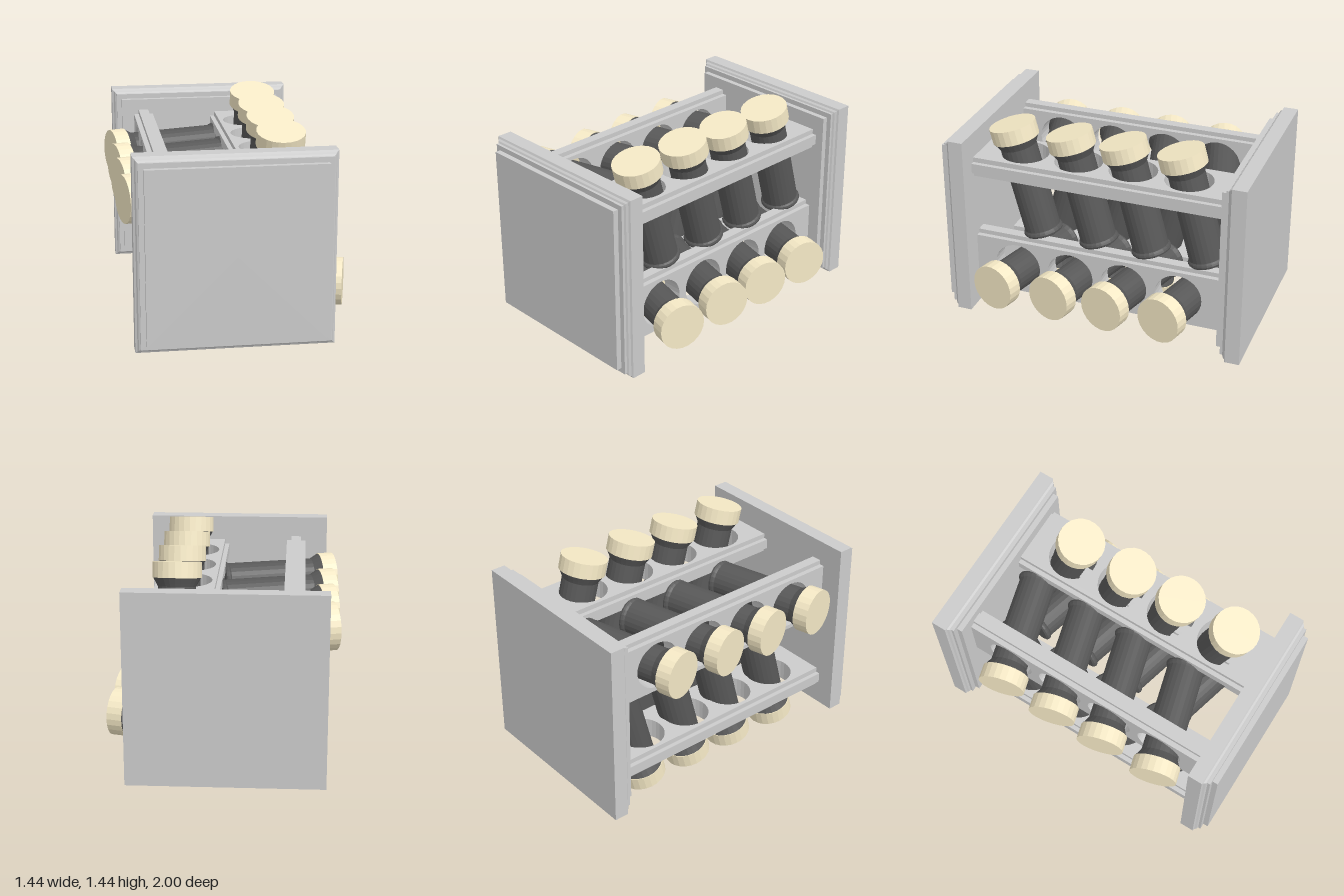
import * as THREE from 'three';

const grey = new THREE.MeshStandardMaterial({ color: 0xcccccc, flatShading: true });
const glass = new THREE.MeshStandardMaterial({ color: 0x585858, flatShading: true });
const cream = new THREE.MeshStandardMaterial({ color: 0xf5e9c6, flatShading: true });

const TILT = THREE.MathUtils.degToRad(15);
const holeZ = [0.547, 0.182, -0.182, -0.547];
const jarZ = [0.615, 0.23, -0.125, -0.5]; // cap centres
const boardLength = 1.67;

const toPoints = (list) => list.map(([x, y]) => new THREE.Vector2(x, y));

function mesh(name, geometry, material) {
  const m = new THREE.Mesh(geometry, material);
  m.name = name;
  return m;
}

// Square end panel with a moulded, stepped front face (four-sided lathe)
function endPanelGeometry() {
  const profile = [
    [0, 0], [0.608, 0], [0.608, 0.094], [0.596, 0.1], [0.588, 0.112], [0.577, 0.118],
    [0.577, 0.135], [0.545, 0.135], [0.545, 0.17], [0, 0.17],
  ].map(([r, z]) => [r * Math.SQRT2, z]);
  const g = new THREE.LatheGeometry(toPoints(profile), 4, Math.PI / 4);
  g.rotateX(Math.PI / 2);
  return g;
}

// One pierced layer of a board, lying flat
function boardLayer(halfWidth, bottom, thickness) {
  const half = boardLength / 2;
  const shape = new THREE.Shape(toPoints([
    [-halfWidth, -half], [halfWidth, -half], [halfWidth, half], [-halfWidth, half],
  ]));
  for (const z of holeZ) {
    const hole = new THREE.Path();
    hole.absarc(0, z, 0.155, 0, Math.PI * 2, true);
    shape.holes.push(hole);
  }
  const g = new THREE.ExtrudeGeometry(shape, { depth: thickness, bevelEnabled: false, curveSegments: 16 });
  g.rotateX(-Math.PI / 2);
  g.translate(0.28, bottom, 0);
  return g;
}

// Board with a wider tongue along the middle of its edges
function createBoard() {
  const board = new THREE.Group();
  board.name = 'jarBoard';
  board.add(
    mesh('innerLayer', boardLayer(0.18, 0.332, 0.032), grey),
    mesh('tongueLayer', boardLayer(0.209, 0.364, 0.066), grey),
    mesh('outerLayer', boardLayer(0.18, 0.43, 0.032), grey),
  );
  return board;
}

// Jar with its origin at the centre of the cap's top
const jarGeometry = new THREE.LatheGeometry(toPoints([
  [0, 0], [0.112, 0], [0.126, 0.008], [0.13, 0.02], [0.126, 0.032], [0.117, 0.042],
  [0.117, 0.615], [0.126, 0.632], [0.146, 0.668], [0, 0.668],
]), 24).translate(0, -0.765, 0);
const capGeometry = new THREE.CylinderGeometry(0.15, 0.15, 0.097, 24).translate(0, -0.0485, 0);

function createJar() {
  const jar = new THREE.Group();
  jar.name = 'jar';
  jar.add(mesh('jarBody', jarGeometry, glass), mesh('jarCap', capGeometry, cream));
  return jar;
}

export function createModel() {
  const model = new THREE.Group();
  model.name = 'jarRack';

  // Both end panels face forwards
  const panelGeometry = endPanelGeometry();
  [['frontPanel', 0.83], ['backPanel', -1]].forEach(([name, z]) => {
    const panel = mesh(name, panelGeometry, grey);
    panel.position.set(-0.037, 0.747, z);
    model.add(panel);
  });

  // Four boards and rows of jars in a pinwheel: top, left, bottom, right
  const sides = ['top', 'rightHand', 'bottom', 'leftHand'];
  const jarOffset = [0.28, 0.29, 0.277, 0.3];
  sides.forEach((side, k) => {
    const board = createBoard();
    board.name = side + 'Board';
    board.position.set(-0.037, 0.73, 0);
    board.rotation.z = k * Math.PI / 2;
    model.add(board);

    const row = new THREE.Group();
    row.name = side + 'Jars';
    row.position.set(0, 0.72, 0);
    row.rotation.z = k * Math.PI / 2;
    for (const z of jarZ) {
      const jar = createJar();
      jar.position.set(jarOffset[k], 0.682, z);
      jar.rotation.x = TILT;
      row.add(jar);
    }
    model.add(row);
  });

  return model;
}
